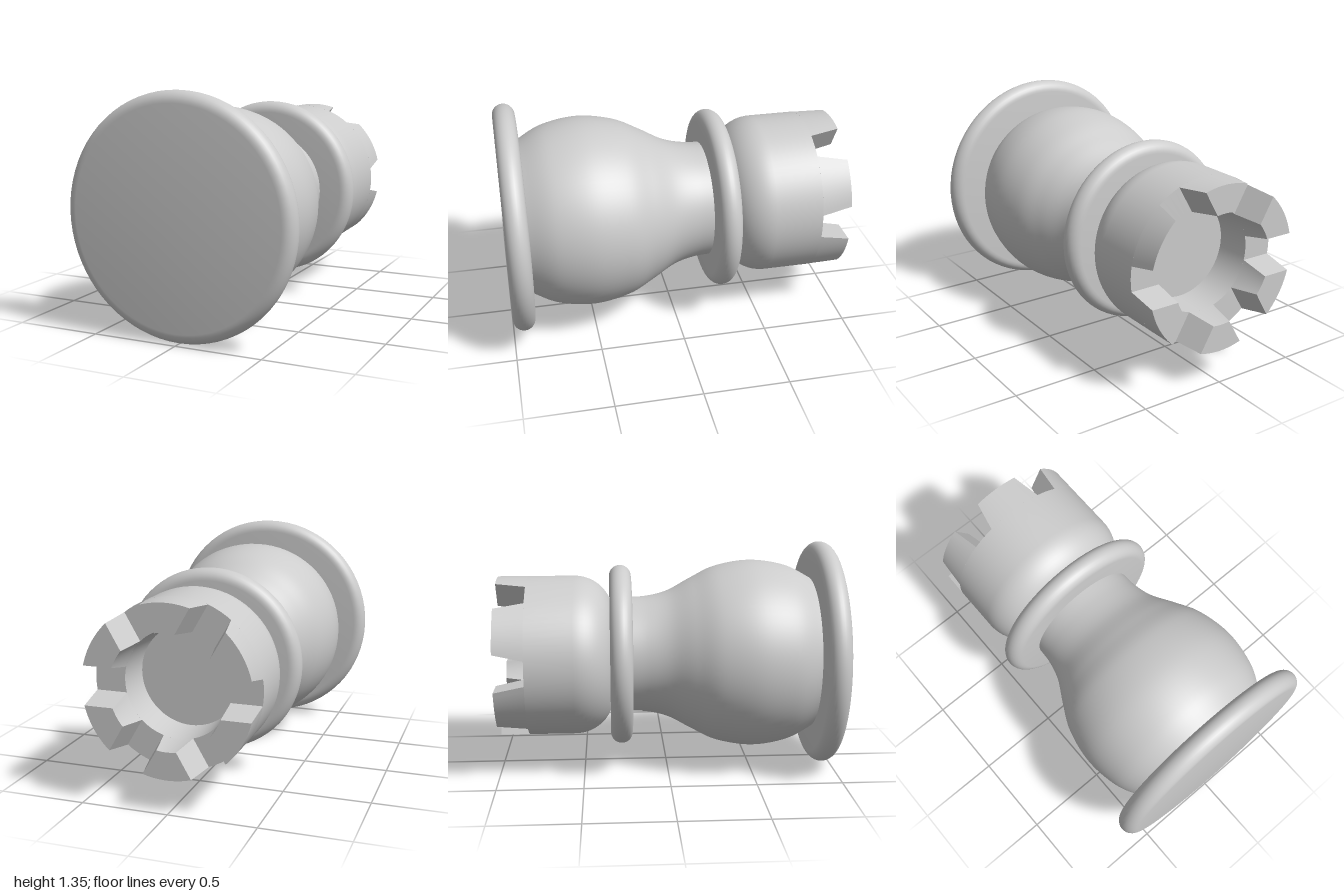
import * as THREE from 'three';
import { toCreasedNormals } from 'three/addons/utils/BufferGeometryUtils.js';

const SEGMENTS = 72;
const stone = new THREE.MeshStandardMaterial({ color: 0xcccccc });
stone.name = 'grey stone';

function part(name, geometry) {
  const mesh = new THREE.Mesh(toCreasedNormals(geometry, 0.6), stone);
  mesh.name = name;
  return mesh;
}

const lathe = (points) => new THREE.LatheGeometry(points, SEGMENTS);
const v = (r, h) => new THREE.Vector2(r, h);

// Flat disc with a fully rounded rim
function roundedDisc(radius, bottom, top) {
  const e = (top - bottom) / 2;
  const points = [v(0, bottom)];
  for (let i = 0; i <= 14; i++) {
    const a = -Math.PI / 2 + (Math.PI * i) / 14;
    points.push(v(radius - e + e * Math.cos(a), bottom + e + e * Math.sin(a)));
  }
  points.push(v(0, top));
  return lathe(points);
}

// Crown dimensions
const OUTER = 0.4775, RIM = 1.825, TOP = 2;
const INNER_FLOOR = 0.29, INNER_RIM = 0.305, INNER_TOP = 0.32, FLOOR = 1.63;
const NOTCHES = 6, HALF_TOP = 0.11, HALF_BOTTOM = 0.0725;

// Battlement: four corners swept round an arc between two parallel-sided notches
function merlonGeometry() {
  const corners = [
    [OUTER, RIM, HALF_BOTTOM], [OUTER, TOP, HALF_TOP],
    [INNER_TOP, TOP, HALF_TOP], [INNER_RIM, RIM, HALF_BOTTOM],
  ];
  const steps = 10, positions = [], index = [];
  for (let i = 0; i <= steps; i++) {
    for (const [r, h, half] of corners) {
      const start = Math.asin(half / r);
      const a = start + ((2 * Math.PI) / NOTCHES - 2 * start) * (i / steps);
      positions.push(r * Math.cos(a), h, r * Math.sin(a));
    }
  }
  for (let i = 0; i < steps; i++) {
    for (let c = 0; c < 4; c++) {
      const a = i * 4 + c, b = i * 4 + ((c + 1) % 4);
      index.push(a, b, b + 4, a, b + 4, a + 4);
    }
  }
  const e = steps * 4;
  index.push(0, 2, 1, 0, 3, 2, e, e + 1, e + 2, e, e + 2, e + 3);
  const geometry = new THREE.BufferGeometry();
  geometry.setAttribute('position', new THREE.Float32BufferAttribute(positions, 3));
  geometry.setIndex(index);
  return geometry;
}

export function createModel() {
  const model = new THREE.Group();
  model.name = 'rook';

  // Built upright, then laid down with its base to the front
  const rook = new THREE.Group();
  rook.name = 'lyingRook';
  rook.rotation.x = -Math.PI / 2;
  rook.position.set(0, 0.6725, 1);
  model.add(rook);

  rook.add(part('base', roundedDisc(0.6725, 0, 0.13)));

  // Bulbous body flowing into the neck
  const profile = new THREE.SplineCurve([
    v(0.42, 0.07), v(0.458, 0.13), v(0.533, 0.28), v(0.565, 0.49), v(0.531, 0.7),
    v(0.46, 0.85), v(0.385, 0.99), v(0.352, 1.12), v(0.345, 1.25),
  ]);
  rook.add(part('body', lathe(profile.getPoints(56))));

  rook.add(part('collar', roundedDisc(0.54, 1.21, 1.34)));

  // Cup with rounded underside and hollow centre
  const cup = [];
  for (let i = 0; i <= 16; i++) {
    const a = -Math.PI / 2 + (Math.PI / 2) * (i / 16);
    cup.push(v(0.25 + (OUTER - 0.25) * Math.cos(a), 1.55 + 0.23 * Math.sin(a)));
  }
  cup.push(v(OUTER, RIM), v(INNER_RIM, RIM), v(INNER_FLOOR, FLOOR), v(0, FLOOR));
  rook.add(part('cup', lathe(cup)));

  // Ring of battlements
  const geometry = merlonGeometry();
  for (let i = 0; i < NOTCHES; i++) {
    const merlon = part('merlon', geometry);
    merlon.rotation.y = (2 * Math.PI * i) / NOTCHES;
    rook.add(merlon);
  }

  return model;
}
